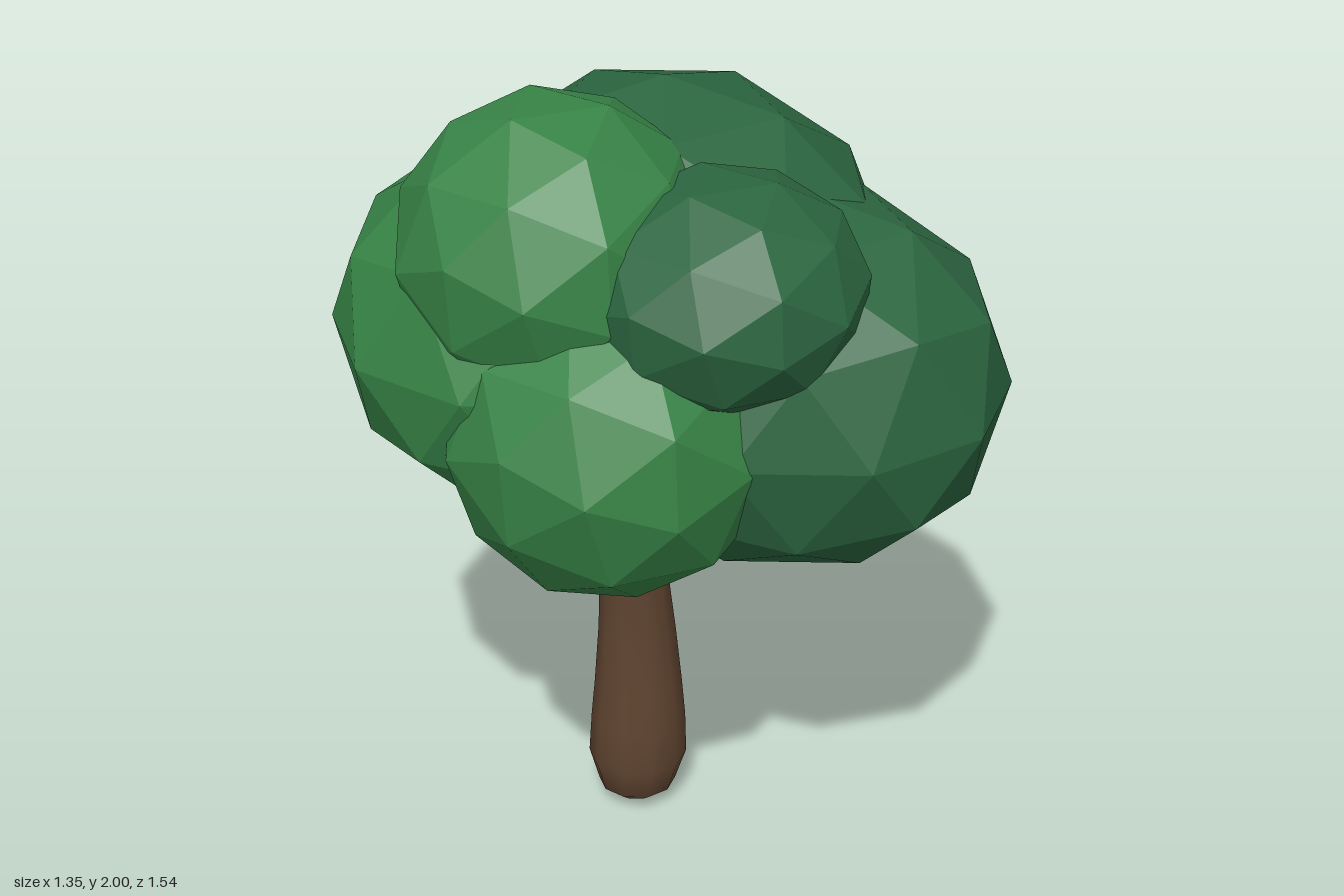
import * as THREE from 'three';
import { mergeVertices } from 'three/addons/utils/BufferGeometryUtils.js';

const material = (name, color, flatShading = false) => {
  const m = new THREE.MeshStandardMaterial({ color, flatShading });
  m.name = name;
  return m;
};

// Low-poly leaf clump: a pole-up icosphere, tilted, then stretched (separate radius below its middle)
function leafClump(name, mat, [x, y, z], [rx, ryTop, rz, ryBottom = ryTop], tilt = 0, yaw = 0) {
  const g = new THREE.IcosahedronGeometry(1, 1);
  g.rotateX(-Math.atan((1 + Math.sqrt(5)) / 2));
  g.rotateY(Math.PI / 2);
  g.rotateZ(tilt);
  g.rotateY(yaw);
  const p = g.attributes.position;
  for (let i = 0; i < p.count; i++) {
    const py = p.getY(i);
    p.setXYZ(i, p.getX(i) * rx, py * (py > 0 ? ryTop : ryBottom), p.getZ(i) * rz);
  }
  g.computeVertexNormals();
  const mesh = new THREE.Mesh(g, mat);
  mesh.name = name;
  mesh.position.set(x, y, z);
  return mesh;
}

// Rounded trunk: lathed profile whose rings are shifted along a gentle bend
function trunk(mat) {
  const profile = [[0, 0], [0.06, 0.015], [0.1, 0.045], [0.127, 0.13], [0.122, 0.24], [0.113, 0.34],
    [0.099, 0.5], [0.09, 0.62], [0.086, 0.75], [0.086, 0.92], [0.065, 0.98], [0, 1.0]];
  const bend = new THREE.CatmullRomCurve3([
    new THREE.Vector3(0.02, 0, -0.12), new THREE.Vector3(0.032, 0.25, -0.122),
    new THREE.Vector3(0.036, 0.5, -0.128), new THREE.Vector3(0.022, 0.75, -0.134),
    new THREE.Vector3(-0.002, 1, -0.138)]);
  let g = new THREE.LatheGeometry(profile.map(([r, y]) => new THREE.Vector2(r, y)), 10);
  const p = g.attributes.position;
  for (let i = 0; i < p.count; i++) {
    const c = bend.getPoint(p.getY(i));
    p.setXYZ(i, p.getX(i) + c.x, p.getY(i), p.getZ(i) + c.z);
  }
  g.deleteAttribute('uv');
  g.deleteAttribute('normal');
  g = mergeVertices(g, 1e-4);
  g.computeVertexNormals();
  const mesh = new THREE.Mesh(g, mat);
  mesh.name = 'trunk';
  return mesh;
}

export function createModel() {
  const bark = material('bark brown', 0x5e432f);
  const dark = material('dark leaf green', 0x2c6640, true);
  const light = material('light leaf green', 0x378346, true);
  const faceUp = -0.653; // turns a flat facet to the top and bottom

  const tree = new THREE.Group();
  tree.name = 'tree';
  tree.add(
    trunk(bark),
    // Dark clumps at the front and +x side
    leafClump('lowerFrontLeaves', dark, [0.17, 1.26, 0.24], [0.515, 0.49, 0.53, 0.445]),
    leafClump('upperSideLeaves', dark, [0.15, 1.48, -0.125], [0.54, 0.47, 0.56]),
    leafClump('smallFrontLeaves', dark, [-0.135, 1.6, 0.25], [0.345, 0.28, 0.34], faceUp),
    // Light clumps at the back and -x side
    leafClump('topLeaves', light, [-0.265, 1.65, -0.13], [0.38, 0.37, 0.37], faceUp),
    leafClump('backLeaves', light, [-0.13, 1.4, -0.26], [0.53, 0.475, 0.51, 0.45]),
    leafClump('lowerSideLeaves', light, [-0.28, 1.25, 0.05], [0.41, 0.4, 0.4], faceUp),
  );
  return tree;
}
